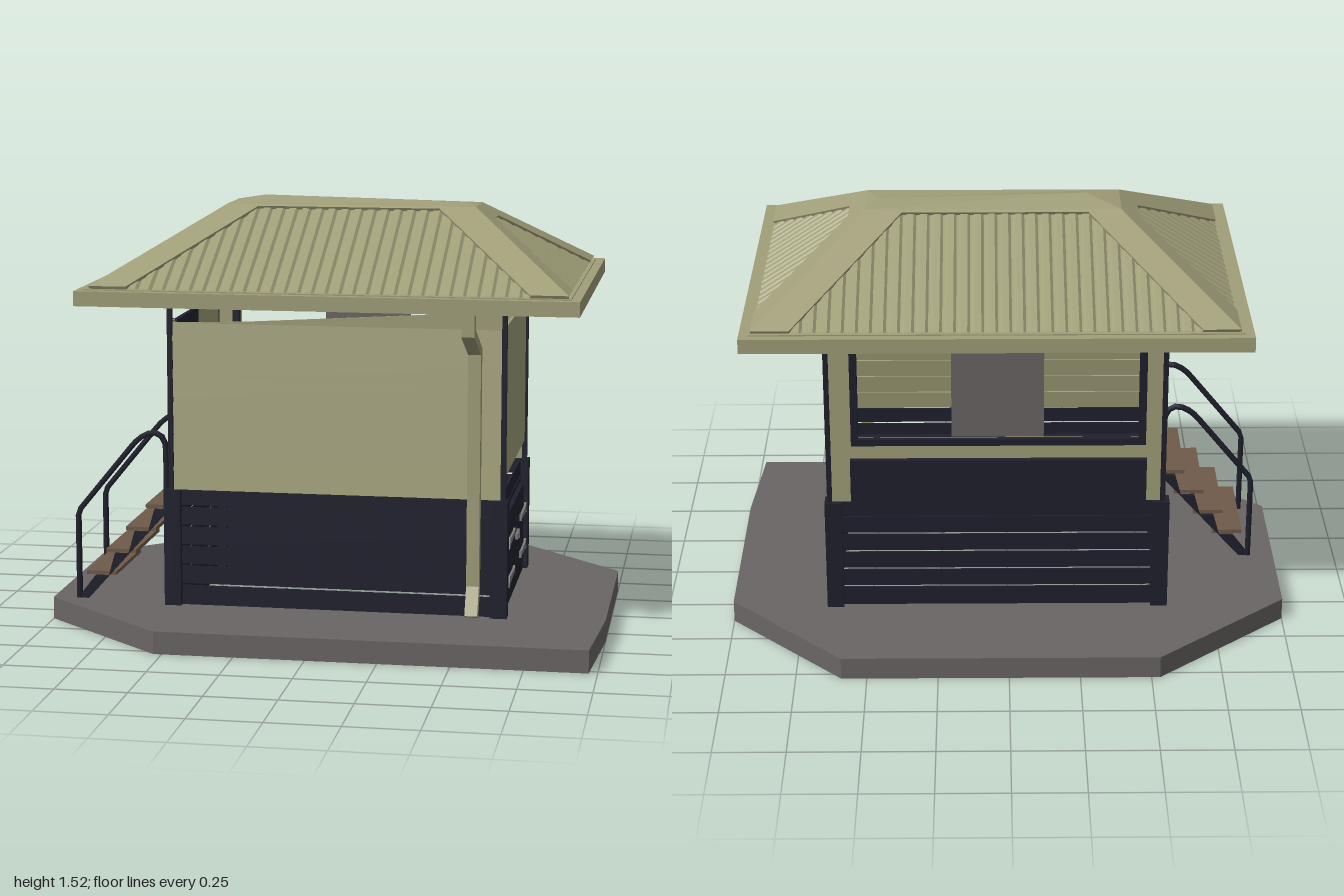
import * as THREE from 'three';

const mat = (name, color, side = THREE.FrontSide) => {
  const m = new THREE.MeshStandardMaterial({ color, side });
  m.name = name;
  return m;
};

export function createModel() {
  const root = new THREE.Group();
  root.name = 'raisedCabin';
  const olive = mat('olive paint', 0xa19f79, THREE.DoubleSide);
  const navy = mat('dark navy timber', 0x20202e);
  const stone = mat('grey concrete', 0x6b6565);
  const steel = mat('grey steel', 0x7e7b7b);
  const brown = mat('brown wood', 0x6f5a49);

  const add = (name, geo, m, parent = root) => {
    const mesh = new THREE.Mesh(geo, m);
    mesh.name = name;
    parent.add(mesh);
    return mesh;
  };
  const group = (name) => {
    const g = new THREE.Group();
    g.name = name;
    root.add(g);
    return g;
  };
  // box from its minimum and maximum corners
  const box = (name, x0, x1, y0, y1, z0, z1, m, parent) => {
    const geo = new THREE.BoxGeometry(x1 - x0, y1 - y0, z1 - z0);
    geo.translate((x0 + x1) / 2, (y0 + y1) / 2, (z0 + z1) / 2);
    return add(name, geo, m, parent);
  };
  const poly = (pts) => pts.map(([a, b]) => new THREE.Vector2(a, b));
  const rect = (x0, x1, y0, y1) => [[x0, y0], [x1, y0], [x1, y1], [x0, y1]];
  const extrude = (pts, hole, depth) => {
    const s = new THREE.Shape(poly(pts));
    if (hole) s.holes.push(new THREE.Path(poly(hole)));
    return new THREE.ExtrudeGeometry(s, { depth, bevelEnabled: false });
  };
  // horizontal plate, outline given in x and z
  const plate = (name, pts, hole, top, thick, m) =>
    add(name, extrude(pts, hole, thick).rotateX(Math.PI / 2).translate(0, top, 0), m);

  // Concrete slab with an opening under the cabin
  plate('slab', [[-0.53, -0.78], [0.59, -0.78], [1, -0.37], [1, 0.37], [0.97, 0.775], [-0.53, 0.78], [-1, 0.37], [-1, -0.37]],
    rect(-0.556, 0.626, -0.392, 0.392), 0.08, 0.08, stone);

  // Slatted base with corner posts, reaching down through the slab opening
  const base = group('base');
  for (const z of [-0.385, 0.385]) {
    for (const x of [-0.545, 0.625]) box('basePost', x - 0.03, x + 0.03, 0.003, 0.5, z - 0.029, z + 0.029, navy, base);
  }
  for (let i = 0; i < 6; i++) {
    const y0 = i ? 0.0865 + i * 0.0715 : 0.003, y1 = i === 5 ? 0.5 : 0.1505 + i * 0.0715;
    for (const z of [-0.388, 0.388]) box('longSlat', -0.52, 0.6, y0, y1, z - 0.003, z + 0.003, navy, base);
    for (const x of [-0.552, 0.622]) box('endSlat', x - 0.003, x + 0.003, y0, y1, -0.36, 0.36, navy, base);
  }

  // Double doors with strap hinges and a latch
  const doors = group('storeDoors');
  for (const s of [-1, 1]) {
    for (let i = 0; i < 3; i++) {
      const c = s * (0.048 + i * 0.09);
      box('doorBoard', 0.63, 0.646, 0.1, 0.43, c - 0.0435, c + 0.0435, navy, doors);
    }
    for (const y of [0.19, 0.33]) {
      const strap = extrude([[0.315, -0.022], [0.3, 0.02], [0.27, 0.011], [0.13, 0.008], [0.115, 0.014], [0.115, -0.014], [0.13, -0.008], [0.27, -0.013]], null, 0.008);
      if (s > 0) strap.rotateY(-Math.PI / 2).translate(0.655, y, 0);
      else strap.rotateY(Math.PI / 2).translate(0.647, y, 0);
      add('strapHinge', strap, steel, doors);
    }
  }
  box('latch', 0.646, 0.656, 0.281, 0.301, -0.025, 0.035, steel, doors);
  box('latchKnob', 0.646, 0.658, 0.275, 0.31, -0.02, -0.005, steel, doors);

  // Thin upper posts
  for (const x of [-0.55, 0.637]) {
    for (const z of [-0.393, 0.393]) box('upperPost', x - 0.009, x + 0.009, 0.49, 1.18, z - 0.009, z + 0.009, navy);
  }

  // Front wall of lapped boards with a sloping top
  const front = group('frontWall');
  for (let i = 0; i < 9; i++) {
    const b = add('lapBoard', new THREE.BoxGeometry(1.18, 0.069, 0.005), olive, front);
    b.position.set(0.045, 0.535 + i * 0.0667, 0.39);
    b.rotation.x = -0.12;
  }
  add('frontWallTop', extrude([[-0.545, 1.1], [0.64, 1.1], [0.64, 1.165], [0.55, 1.16], [-0.27, 1.11]], null, 0.004).translate(0, 0, 0.387), olive, front);

  // End walls and entrance door
  box('endWall', 0.627, 0.637, 0.57, 1.105, -0.385, 0.385, olive);
  box('entranceWall', -0.555, -0.545, 0.5, 1.105, -0.385, 0.0, olive);
  box('entranceWallEdge', -0.555, -0.545, 0.5, 1.105, 0.335, 0.385, olive);
  box('entranceDoor', -0.55, -0.535, 0.5, 1.105, 0.0, 0.335, navy);
  for (const z of [0.0, 0.315]) box('doorJamb', -0.562, -0.545, 0.5, 1.105, z, z + 0.02, navy);

  // Back wall, window frame and centre pane
  const back = group('backWall');
  const win = rect(-0.46, 0.53, 0.75, 1.105);
  add('backPanel', extrude(rect(-0.545, 0.64, 0.5, 1.112), win, 0.006).translate(0, 0, -0.393), olive, back);
  add('windowFrame', extrude(rect(-0.485, 0.555, 0.725, 1.127), win, 0.044).translate(0, 0, -0.408), navy, back);
  box('backBoard', -0.49, 0.56, 0.47, 0.67, -0.413, -0.393, navy, back);
  box('centrePane', -0.125, 0.2, 0.75, 1.105, -0.385, -0.377, stone, back);

  // Wall plate, soffit and gutter
  plate('wallPlate', rect(-0.555, 0.645, -0.41, 0.4), rect(-0.54, 0.625, -0.385, 0.385), 1.19, 0.018, navy);
  plate('soffit', rect(-0.8, 0.88, -0.615, 0.615), rect(-0.54, 0.625, -0.385, 0.385), 1.197, 0.012, navy);
  plate('gutter', rect(-0.83, 0.912, -0.645, 0.645), rect(-0.795, 0.875, -0.61, 0.61), 1.238, 0.052, olive);
  plate('eaveEdge', rect(-0.8, 0.88, -0.615, 0.615), rect(-0.74, 0.82, -0.56, 0.56), 1.242, 0.012, olive);

  // Hipped roof: corrugated sheets with flat caps along hips and top
  const roof = group('roof');
  const V = (x, y, z) => new THREE.Vector3(x, y, z);
  const quads = (name, list) => {
    const pos = [];
    for (const [a, b, c, d] of list) for (const p of [a, b, c, a, c, d]) pos.push(p.x, p.y, p.z);
    const g = new THREE.BufferGeometry();
    g.setAttribute('position', new THREE.Float32BufferAttribute(pos, 3));
    g.computeVertexNormals();
    add(name, g, olive, roof);
  };
  const roofSide = (bl, br, tl, tr, w, tp, inset) => {
    const dir = br.clone().sub(bl), L = dir.length();
    dir.normalize();
    const a = tl.clone().sub(bl).dot(dir), b = br.clone().sub(tr).dot(dir);
    const up = tl.clone().sub(bl).addScaledVector(dir, -a);
    const n = dir.clone().cross(up).normalize();
    const at = (u, t, h = 0) => bl.clone().addScaledVector(dir, u).addScaledVector(up, t).addScaledVector(n, h);
    // corrugated sheet: each wave is a wide flat, a slope, a narrow valley and a slope
    const waves = Math.round(L / 0.048), pitch = L / waves, strips = [];
    const reach = (u) => Math.max(0, Math.min(1, u / a, (L - u) / b));
    const steps = [[0, -0.007], [0.45, -0.007], [0.65, -0.015], [0.8, -0.015], [1, -0.007]];
    for (let i = 0; i < waves; i++) {
      for (let k = 0; k < 4; k++) {
        const [f0, h0] = steps[k], [f1, h1] = steps[k + 1];
        const u0 = (i + f0) * pitch, u1 = (i + f1) * pitch;
        strips.push([at(u0, 0, h0), at(u1, 0, h1), at(u1, reach(u1), h1), at(u0, reach(u0), h0)]);
      }
    }
    quads('corrugatedSheet', strips);
    // caps and their lower lips
    const p = at(inset, tp), q = at(L - inset, tp), lw = at(w, 0), rw = at(L - w, 0);
    const low = (v) => v.clone().addScaledVector(n, -0.012);
    quads('hipCap', [
      [bl, lw, p, tl], [rw, br, tr, q], [p, q, tr, tl],
      [lw, low(lw), low(p), p], [low(rw), rw, q, low(q)], [p, low(p), low(q), q],
      [low(bl), low(lw), lw, bl], [low(rw), low(br), br, rw],
    ]);
  };
  const y0 = 1.252, y1 = 1.497;
  const eave = [V(-0.785, y0, 0.605), V(0.872, y0, 0.605), V(0.872, y0, -0.605), V(-0.785, y0, -0.605)];
  const top = [V(-0.4, y1, 0.1), V(0.5, y1, 0.1), V(0.5, y1, -0.1), V(-0.4, y1, -0.1)];
  for (let i = 0; i < 4; i++) {
    const j = (i + 1) % 4, end = i % 2;
    roofSide(eave[i], eave[j], top[i], top[j], end ? 0.17 : 0.13, end ? 0.83 : 0.975, end ? 0.555 : 0.5);
  }
  const rl = V(-0.28, 1.522, 0), rr = V(0.46, 1.504, 0);
  quads('ridgeCap', [[top[0], top[1], rr, rl], [top[2], top[3], rl, rr], [top[1], top[2], rr, rr], [top[3], top[0], rl, rl]]);

  // Downpipe with two bends, profile in z and y
  add('downpipe', extrude([[0.645, 1.2], [0.645, 1.11], [0.442, 1.02], [0.442, 0.2], [0.49, 0.105], [0.45, 0.09], [0.403, 0.185], [0.403, 1.04], [0.605, 1.13], [0.605, 1.2]], null, 0.045)
    .rotateY(-Math.PI / 2).translate(0.56, 0, 0), olive);

  // Steps with sawtooth stringers and handrails
  const stairs = group('stairs');
  const saw = [[-0.575, 0.41], [-0.575, 0.47]];
  for (let i = 3; i >= 0; i--) {
    const x = -0.88 + i * 0.074, y = 0.165 + i * 0.084;
    box('tread', x, x + 0.11, y, y + 0.014, -0.015, 0.345, brown, stairs);
    saw.push([x + 0.085, y], [x + 0.035, y]);
  }
  saw.push([-0.91, 0.08], [-0.87, 0.08]);
  for (const z of [-0.025, 0.355]) {
    add('stringer', extrude(saw, null, 0.014).translate(0, 0, z - 0.007), navy, stairs);
    const path = new THREE.CurvePath();
    const pts = [V(-0.905, 0.003, z), V(-0.905, 0.4, z), V(-0.7, 0.65, z)];
    path.add(new THREE.LineCurve3(pts[0], pts[1]));
    path.add(new THREE.LineCurve3(pts[1], pts[2]));
    path.add(new THREE.CubicBezierCurve3(pts[2], V(-0.65, 0.71, z), V(-0.578, 0.72, z), V(-0.578, 0.63, z)));
    path.add(new THREE.LineCurve3(V(-0.578, 0.63, z), V(-0.578, 0.44, z)));
    add('handrail', new THREE.TubeGeometry(path, 40, 0.011, 6), navy, stairs);
  }
  return root;
}
